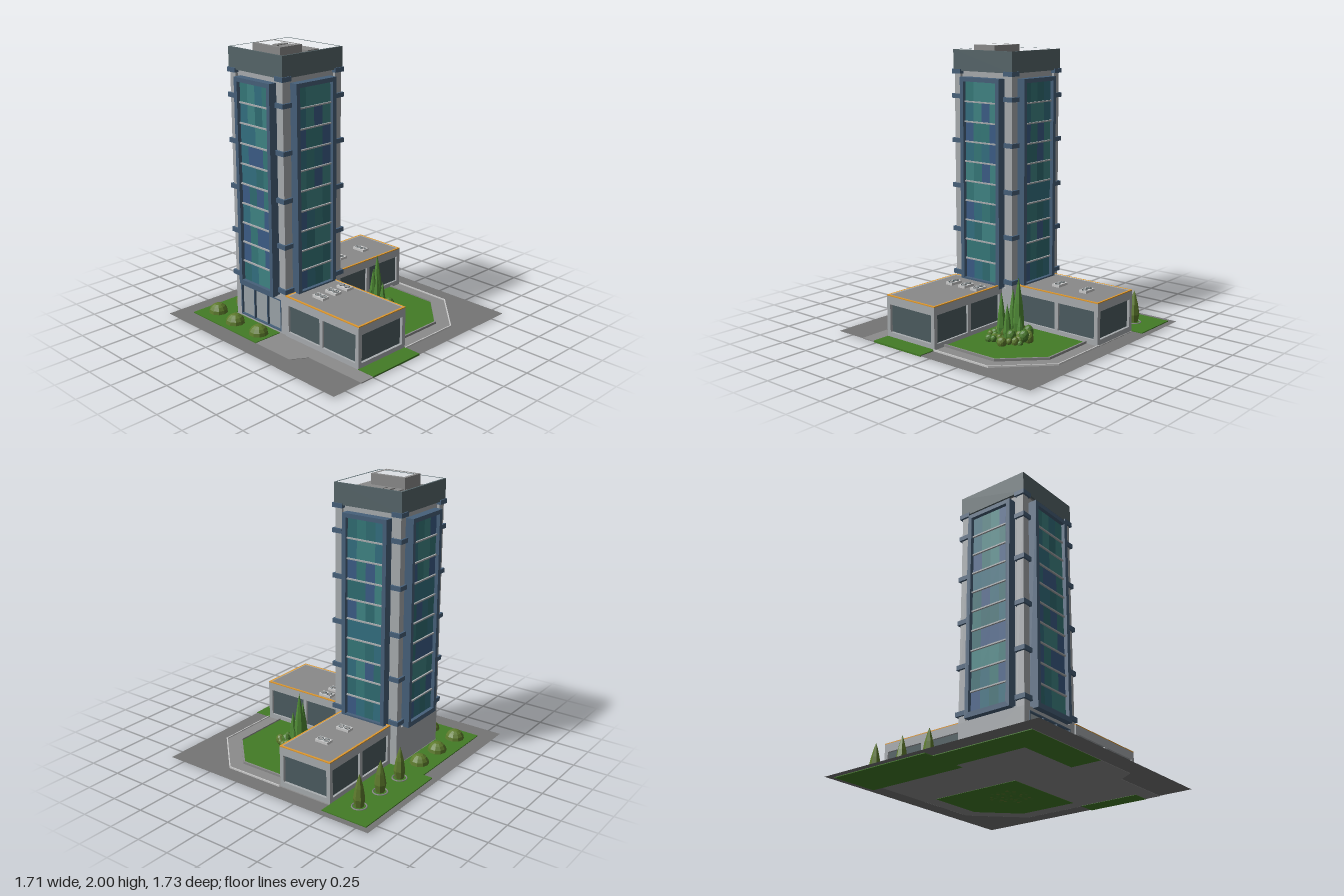
import * as THREE from 'three';

const mat = (color, extra = {}) => new THREE.MeshStandardMaterial({ color, ...extra });
const M = {
  concrete: mat(0xa8acaf), paving: mat(0x8c8c8c), road: mat(0x757575, { side: THREE.DoubleSide }),
  light: mat(0xcccccc), roof: mat(0x8a8a8a), slate: mat(0x566569), blue: mat(0x46607a),
  dark: mat(0x4c5c60), entry: mat(0x9aa3a8), grass: mat(0x437c26), orange: mat(0xe09a30),
  leaf: mat(0x5d7a2c, { flatShading: true }), leaf2: mat(0x4a7a2c, { flatShading: true }),
  cone: mat(0x4f8a35, { flatShading: true }),
};
const panes = [0x2f6c72, 0x3f8484, 0x357879, 0x3b5c86, 0x336f80].map((c) => mat(c));

let seed = 7;
const rnd = () => (seed = (seed * 16807) % 2147483647) / 2147483647;

function add(parent, name, geo, material, x = 0, y = 0, z = 0) {
  const m = new THREE.Mesh(geo, material);
  m.name = name;
  m.position.set(x, y, z);
  parent.add(m);
  return m;
}
function group(parent, name, x = 0, y = 0, z = 0) {
  const g = new THREE.Group();
  g.name = name;
  g.position.set(x, y, z);
  parent.add(g);
  return g;
}
// Box given by its limits on each axis
function box(parent, name, material, x0, x1, y0, y1, z0, z1) {
  return add(parent, name, new THREE.BoxGeometry(x1 - x0, y1 - y0, z1 - z0), material,
    (x0 + x1) / 2, (y0 + y1) / 2, (z0 + z1) / 2);
}
const rectPts = (x0, x1, y0, y1) => [[x0, y0], [x1, y0], [x1, y1], [x0, y1]];
function shapeOf(pts, holes = []) {
  const v = (list) => list.map(([x, y]) => new THREE.Vector2(x, y));
  const s = new THREE.Shape(v(pts));
  s.holes = holes.map((h) => new THREE.Path(v(h)));
  return s;
}
const extrude = (pts, depth, holes) =>
  new THREE.ExtrudeGeometry(shapeOf(pts, holes), { depth, bevelEnabled: false });
// Horizontal slab from an outline of [x, z] points
function slab(parent, name, material, pts, y0, y1, holes = []) {
  const flip = (l) => l.map(([x, z]) => [x, -z]);
  const geo = extrude(flip(pts), y1 - y0, holes.map(flip)).rotateX(-Math.PI / 2);
  return add(parent, name, geo, material, 0, y0, 0);
}
// Kerb along a path of [x, z] points
function kerb(parent, name, material, pts, width, top) {
  for (let i = 1; i < pts.length; i++) {
    const [ax, az] = pts[i - 1], [bx, bz] = pts[i];
    const len = Math.hypot(bx - ax, bz - az);
    add(parent, name, new THREE.BoxGeometry(len + width * 0.5, top - 0.008, width), material,
      (ax + bx) / 2, (top + 0.008) / 2, (az + bz) / 2).rotation.y = -Math.atan2(bz - az, bx - ax);
  }
}

function buildGround(root) {
  const g = group(root, 'ground');
  add(g, 'road', new THREE.PlaneGeometry(1.71, 1.73).rotateX(-Math.PI / 2), M.road, 0, 0.01, 0);
  slab(g, 'pavement', M.paving, [[-0.74, 0.73], [0.3, 0.73], [0.37, 0.62], [0.855, 0.62], [0.855, 0.06],
    [0.73, 0.06], [0.73, -0.42], [0.41, -0.74], [-0.46, -0.74], [-0.46, -0.03], [-0.74, -0.03]], 0.007, 0.013);
  slab(g, 'sideLawn', M.grass, [[-0.81, -0.82], [-0.46, -0.82], [-0.46, -0.03], [-0.52, -0.03], [-0.52, 0.51],
    [-0.04, 0.51], [-0.04, 0.73], [-0.74, 0.73], [-0.74, -0.03], [-0.81, -0.03]], 0.005, 0.017);
  slab(g, 'endLawn', M.grass, rectPts(0.72, 0.855, 0.06, 0.51), 0.005, 0.017);
  slab(g, 'courtyardLawn', M.grass, [[-0.04, -0.63], [0.37, -0.63], [0.62, -0.38], [0.62, 0.06], [-0.04, 0.06]], 0.005, 0.02);
  kerb(g, 'lawnKerb', M.paving, [[-0.04, -0.635], [0.37, -0.635], [0.622, -0.38], [0.622, 0.06]], 0.012, 0.03);
  kerb(g, 'pathKerb', M.light, [[-0.04, -0.74], [0.41, -0.74], [0.73, -0.42], [0.73, 0.06]], 0.008, 0.022);
}

// One face of the tower: framed bay with ten storeys of coloured panes
function buildBay(tower, side) {
  const bay = group(tower, 'windowBay');
  bay.rotation.y = side * Math.PI / 2;
  add(bay, 'bayFrame', extrude(rectPts(-0.18, 0.18, 0.285, 1.78), 0.07,
    [rectPts(-0.15, 0.15, 0.32, 1.75)]), M.blue, 0, 0, 0.237);
  const h = 1.43 / 10, w = 0.3 / 4;
  for (let r = 0; r < 10; r++) {
    const y = 0.32 + r * h;
    for (let c = 0; c < 4; c++) {
      const x = -0.15 + c * w;
      box(bay, 'pane', panes[Math.floor(rnd() * panes.length)], x, x + w, y, y + h, 0.24, 0.28);
    }
    if (r) box(bay, 'floorBand', M.concrete, -0.15, 0.15, y - 0.005, y + 0.005, 0.27, 0.292);
  }
}

function buildTower(root) {
  const t = group(root, 'tower', -0.247, 0, 0.237);
  box(t, 'core', M.concrete, -0.245, 0.245, 0.28, 1.82, -0.245, 0.245);
  // Ground floor with a recessed glazed entrance
  box(t, 'lobby', M.concrete, -0.265, 0.265, 0.008, 0.29, -0.265, 0.235);
  add(t, 'entranceWall', extrude(rectPts(-0.265, 0.265, 0.008, 0.29), 0.03,
    [rectPts(-0.215, 0.215, 0.025, 0.262)]), M.concrete, 0, 0, 0.235);
  box(t, 'entranceGlass', M.entry, -0.215, 0.215, 0.025, 0.262, 0.23, 0.25);
  add(t, 'entranceFrame', extrude(rectPts(-0.215, 0.215, 0.025, 0.262), 0.02,
    [0, 1, 2].map((i) => rectPts(-0.207 + i * 0.14, -0.207 + i * 0.14 + 0.134, 0.033, 0.254))), M.blue, 0, 0, 0.248);
  for (let s = 0; s < 4; s++) buildBay(t, s);
  // Corner piers with metal bands
  for (const sx of [-1, 1]) for (const sz of [-1, 1]) {
    add(t, 'cornerPier', new THREE.BoxGeometry(0.055, 1.54, 0.055), M.concrete, sx * 0.2375, 1.05, sz * 0.2375);
    for (const y of [0.34, 0.665, 0.99, 1.32, 1.64, 1.815])
      add(t, 'pierBand', new THREE.BoxGeometry(0.08, 0.032, 0.08), M.blue, sx * 0.24, y, sz * 0.24);
  }
  // Crown and roof equipment
  const R = 0.272, I = 0.257;
  slab(t, 'parapet', M.slate, rectPts(-R, R, -R, R), 1.82, 1.97, [rectPts(-I, I, -I, I)]);
  box(t, 'towerRoof', M.roof, -I, I, 1.82, 1.91, -I, I);
  slab(t, 'plantRoom', M.roof, rectPts(-0.125, 0.152, -0.012, 0.18), 1.91, 2, [rectPts(-0.1, 0.127, 0.013, 0.155)]);
  box(t, 'plantRoomFloor', M.roof, -0.1, 0.127, 1.91, 1.95, 0.013, 0.155);
  for (const [x0, x1] of [[-0.235, -0.19], [-0.167, -0.12], [-0.098, -0.052], [-0.043, 0.122]])
    box(t, 'roofUnit', M.roof, x0, x1, 1.91, 1.945, -0.197, -0.092);
}

// Twin-fan cooling unit
function coolingUnit(parent, x, z) {
  const u = group(parent, 'coolingUnit', x, 0.293, z);
  box(u, 'casing', M.light, -0.052, 0.052, 0.006, 0.034, -0.03, 0.03);
  for (const s of [-1, 1]) {
    box(u, 'foot', M.slate, -0.062, 0.062, 0, 0.008, s * 0.018 - 0.003, s * 0.018 + 0.003);
    add(u, 'fanRing', new THREE.TorusGeometry(0.02, 0.002, 5, 16).rotateX(Math.PI / 2), M.slate, s * 0.025, 0.035, 0);
    for (let k = 0; k < 3; k++)
      add(u, 'fanBlade', new THREE.BoxGeometry(0.036, 0.002, 0.005), M.roof, s * 0.025, 0.035, 0).rotation.y = k * Math.PI / 3;
  }
}

// Low wing along local x, with two windows on each long side and one on the far end
function buildWing(root, name, x, z, turn, len, depth) {
  const w = group(root, name, x, 0, z);
  w.rotation.y = turn;
  const T = 0.02, d = depth / 2, half = len / 2;
  box(w, 'wingGlass', M.dark, -half + T, half - T, 0.01, 0.28, -d + T * 0.8, d - T * 0.8);
  const pane = (half * 2 - 0.09) / 2;
  const holes = [-1, 1].map((s) => rectPts(s > 0 ? 0.015 : -0.015 - pane, s > 0 ? 0.015 + pane : -0.015, 0.05, 0.25));
  for (const s of [-1, 1])
    add(w, 'longWall', extrude(rectPts(-half, half, 0.008, 0.308), T, holes), M.concrete, 0, 0, s > 0 ? d - T : -d);
  const end = extrude(rectPts(-d + T, d - T, 0.008, 0.308), T, [rectPts(-d + 0.03, d - 0.03, 0.05, 0.25)]);
  add(w, 'endWall', end, M.concrete, half - T, 0, 0).rotation.y = Math.PI / 2;
  box(w, 'innerWall', M.concrete, -half, -half + T, 0.008, 0.308, -d + T, d - T);
  box(w, 'wingRoof', M.roof, -half + 0.012, half - 0.012, 0.27, 0.311 - 0.002, -d + 0.012, d - 0.012);
  slab(w, 'roofTrim', M.orange, rectPts(-half, half, -d, d), 0.308, 0.315,
    [rectPts(-half + 0.014, half - 0.014, -d + 0.014, d - 0.014)]);
}

// Slender conical tree
function cypress(parent, x, z, height, r) {
  const pts = [[0, 0.01], [r * 0.75, 0.02], [r, height * 0.3], [r * 0.7, height * 0.6], [r * 0.3, height * 0.85], [0, height]];
  const t = add(parent, 'conicalTree', new THREE.LatheGeometry(pts.map(([a, b]) => new THREE.Vector2(a, b)), 7), M.cone, x, 0, z);
  t.rotation.y = rnd() * 3;
  return t;
}

function buildPlants(root) {
  const g = group(root, 'planting');
  for (const z of [-0.64, -0.4, -0.165]) {
    cypress(g, -0.63, z, 0.255, 0.042).material = M.leaf;
    add(g, 'treeRing', new THREE.TorusGeometry(0.05, 0.006, 5, 20).rotateX(Math.PI / 2), M.roof, -0.63, 0.018, z);
  }
  for (const [x, z] of [[-0.62, 0.105], [-0.62, 0.345], [-0.62, 0.595], [-0.39, 0.625], [-0.135, 0.625]])
    add(g, 'domeBush', new THREE.SphereGeometry(0.07, 10, 4, 0, Math.PI * 2, 0, Math.PI / 2), M.leaf, x, 0.015, z);
  // Courtyard thicket: spiral of small shrubs around tall trees
  const c = group(g, 'courtyardThicket', 0.235, 0, -0.19);
  for (let i = 0; i < 52; i++) {
    const a = i * 2.4, rad = 0.15 * Math.sqrt((i + 0.5) / 52), r = 0.02 + rnd() * 0.018;
    const sy = 1 + rnd() * 0.5;
    const b = add(c, 'shrub', new THREE.IcosahedronGeometry(r, 1), i % 2 ? M.leaf : M.leaf2,
      Math.cos(a) * rad, r * sy + (i % 3 ? 0 : 0.022), Math.sin(a) * rad);
    b.scale.y = sy;
  }
  for (const [x, z, h, r] of [[-0.045, -0.04, 0.455, 0.042], [0.035, 0.045, 0.355, 0.032], [-0.04, 0.005, 0.37, 0.035],
    [0.0, 0.07, 0.24, 0.026], [0.04, -0.01, 0.28, 0.03], [-0.02, -0.075, 0.2, 0.028]]) cypress(c, x, z, h, r);
}

export function createModel() {
  const root = new THREE.Group();
  root.name = 'officeTower';
  buildGround(root);
  buildTower(root);
  buildWing(root, 'sideWing', 0.372, 0.285, 0, 0.7, 0.45);
  buildWing(root, 'backWing', -0.25, -0.38, Math.PI / 2, 0.7, 0.42);
  for (const z of [0.12, 0.235, 0.355]) coolingUnit(root, 0.21, z);
  for (const z of [-0.5, -0.265]) coolingUnit(root, -0.235, z);
  buildPlants(root);
  return root;
}
